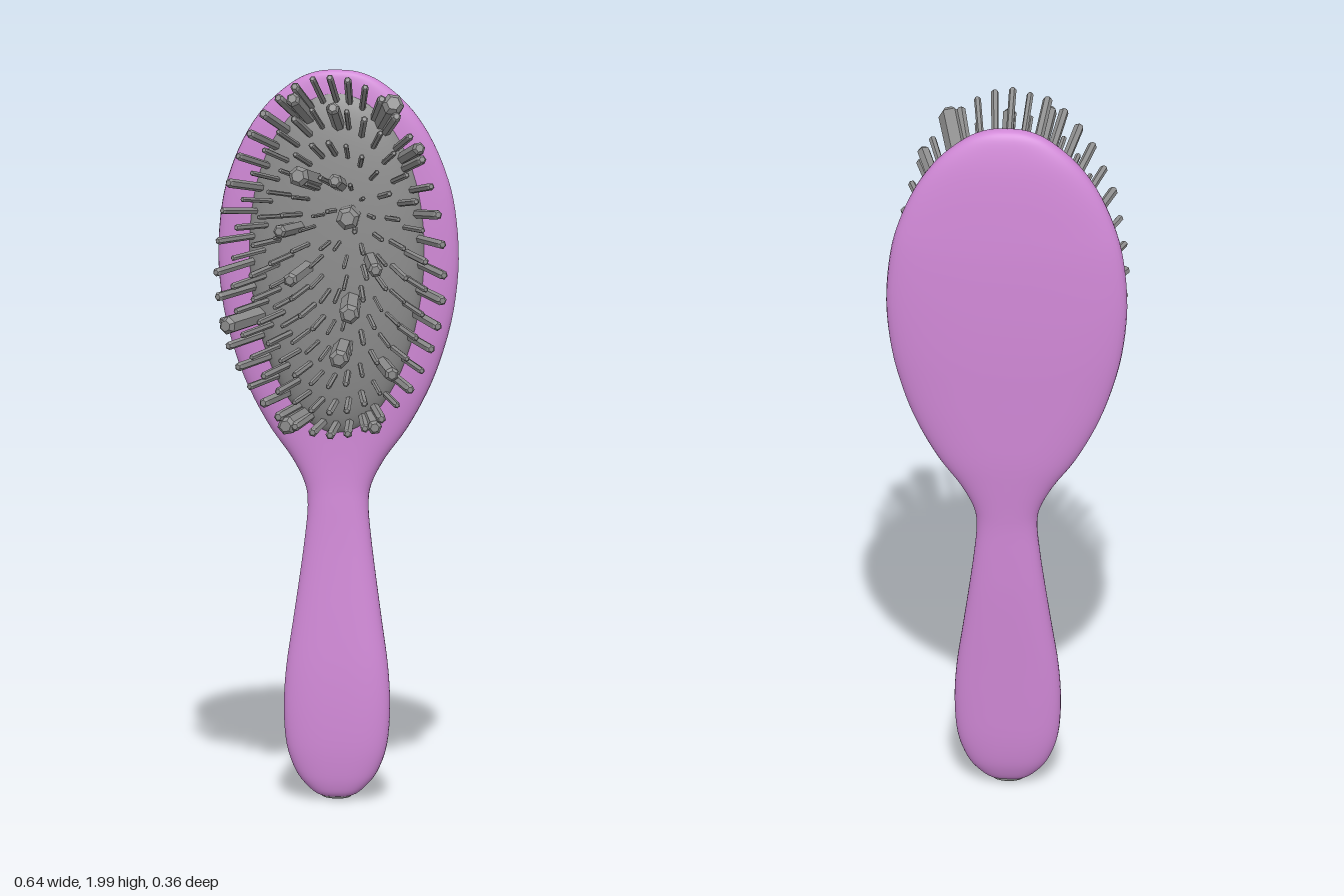
import * as THREE from 'three';
import { mergeGeometries, mergeVertices } from 'three/addons/utils/BufferGeometryUtils.js';

// Cushion ellipsoid: centre and half sizes
const CY = 1.455, CZ = -0.1, RX = 0.235, RY = 0.465, RZ = 0.075;

// Small seeded generator
function seeded(seed) {
  return () => {
    seed = (seed * 16807) % 2147483647;
    return seed / 2147483647;
  };
}

// Paddle and handle: rounded cross-sections [y, half width, front z, back z]
function bodyGeometry() {
  const rows = [
    [0.008, 0, -0.085, -0.085], [0.016, 0.045, -0.065, -0.103], [0.04, 0.078, -0.055, -0.117],
    [0.08, 0.109, -0.049, -0.129], [0.15, 0.134, -0.045, -0.138], [0.25, 0.142, -0.046, -0.144],
    [0.36, 0.136, -0.051, -0.15], [0.48, 0.119, -0.06, -0.157], [0.6, 0.102, -0.07, -0.163],
    [0.7, 0.089, -0.078, -0.166], [0.79, 0.081, -0.084, -0.168], [0.85, 0.089, -0.088, -0.172],
    [0.92, 0.125, -0.09, -0.178], [1.0, 0.183, -0.09, -0.184], [1.1, 0.238, -0.087, -0.187],
    [1.2, 0.277, -0.085, -0.189], [1.32, 0.308, -0.083, -0.191], [1.46, 0.322, -0.082, -0.19],
    [1.6, 0.312, -0.081, -0.186], [1.7, 0.287, -0.081, -0.179], [1.8, 0.243, -0.081, -0.17],
    [1.88, 0.186, -0.084, -0.159], [1.94, 0.116, -0.09, -0.144], [1.966, 0.058, -0.097, -0.13],
    [1.973, 0, -0.112, -0.112],
  ];
  const outline = new THREE.CatmullRomCurve3(rows.map(([y, w]) => new THREE.Vector3(w, y, 0)), false, 'catmullrom');
  const faces = new THREE.CatmullRomCurve3(rows.map(([, , f, b]) => new THREE.Vector3(f, b, 0)), false, 'catmullrom');
  const steps = (rows.length - 1) * 4, sides = 48, pos = [], idx = [];
  const power = (v) => Math.sign(v) * Math.abs(v) ** 0.74;
  for (let i = 0; i <= steps; i++) {
    const o = outline.getPoint(i / steps), f = faces.getPoint(i / steps);
    for (let j = 0; j < sides; j++) {
      const a = (j / sides) * Math.PI * 2;
      pos.push(Math.max(o.x, 0) * power(Math.cos(a)), o.y, (f.x + f.y) / 2 + ((f.x - f.y) / 2) * power(Math.sin(a)));
      if (i < steps) {
        const p = i * sides + j, q = i * sides + ((j + 1) % sides);
        idx.push(p, p + sides, q, q, p + sides, q + sides);
      }
    }
  }
  let geo = new THREE.BufferGeometry();
  geo.setAttribute('position', new THREE.Float32BufferAttribute(pos, 3));
  geo.setIndex(idx);
  geo = mergeVertices(geo, 1e-5);
  geo.computeVertexNormals();
  return geo;
}

// Egg-shaped dome, slightly wider towards the top
function cushionGeometry() {
  let geo = new THREE.SphereGeometry(1, 48, 32);
  const p = geo.attributes.position;
  for (let i = 0; i < p.count; i++) {
    const y = p.getY(i);
    p.setXYZ(i, p.getX(i) * RX * (1 + 0.08 * y), CY + y * RY, CZ + p.getZ(i) * RZ);
  }
  geo.deleteAttribute('uv');
  geo.deleteAttribute('normal');
  geo = mergeVertices(geo, 1e-5);
  geo.computeVertexNormals();
  return geo;
}

// One six-sided bristle with a chamfered tip; u and v place its root on the dome
function bristle(u, v, radius, tipZ, twist) {
  const s2 = Math.min(1, u * u + v * v);
  const root = new THREE.Vector3(u * RX, CY + v * RY, CZ - 0.015 + RZ * Math.sqrt(1 - s2));
  const tip = new THREE.Vector3(u * RX * 1.38, CY + v * RY * (v > 0 ? 1.22 : 1), tipZ);
  const dir = tip.clone().sub(root), len = dir.length();
  const profile = [[radius * 0.95, 0], [radius, len - radius * 0.5], [radius * 0.6, len], [0, len]];
  const geo = new THREE.LatheGeometry(profile.map(([x, y]) => new THREE.Vector2(x, y)), 6);
  geo.rotateY(twist);
  geo.applyQuaternion(new THREE.Quaternion().setFromUnitVectors(new THREE.Vector3(0, 1, 0), dir.normalize()));
  geo.translate(root.x, root.y, root.z);
  return geo;
}

function bristlesGeometry() {
  const rand = seeded(4217), parts = [];
  // Concentric rings: [distance from centre, count, base radius]
  const rings = [[0.94, 40, 0.0105], [0.8, 34, 0.008], [0.64, 28, 0.007], [0.48, 24, 0.006], [0.32, 16, 0.006], [0.15, 8, 0.005]];
  rings.forEach(([s, count, base], k) => {
    for (let i = 0; i < count; i++) {
      const a = ((i + (k % 2) / 2) / count) * Math.PI * 2;
      const tipZ = 0.15 - 0.08 * s * s + rand() * 0.02;
      parts.push(bristle(s * Math.cos(a), s * Math.sin(a), base * (0.85 + 0.5 * rand()), tipZ, rand() * 2));
    }
  });
  // Thick bristles: [tip x, tip y, radius]
  const thick = [
    [0.17, 1.92, 0.031], [-0.08, 1.73, 0.029], [0.055, 1.62, 0.032], [0.06, 1.36, 0.028],
    [0.03, 1.235, 0.027], [-0.12, 1.04, 0.026], [0.12, 1.04, 0.02], [-0.28, 1.31, 0.025],
    [0.02, 1.72, 0.02], [0.13, 1.48, 0.02], [0.17, 1.19, 0.02], [0.24, 1.8, 0.018],
    [-0.1, 1.93, 0.02], [-0.1, 1.45, 0.02], [-0.13, 1.58, 0.018], [0.01, 1.91, 0.018],
  ];
  for (const [x, y, r] of thick) {
    const u = x / RX / 1.38, dy = y - CY, v = dy / RY / (dy > 0 ? 1.22 : 1);
    parts.push(bristle(u, v, r, 0.18 - 0.1 * (u * u + v * v), rand() * 2));
  }
  return mergeGeometries(parts);
}

export function createModel() {
  const group = new THREE.Group();
  group.name = 'hairbrush';
  const pink = new THREE.MeshStandardMaterial({ color: 0xd088d6 });
  const grey = new THREE.MeshStandardMaterial({ color: 0x8c8c8c });
  const greyFlat = new THREE.MeshStandardMaterial({ color: 0x8c8c8c, flatShading: true });

  const add = (name, geometry, material) => {
    const mesh = new THREE.Mesh(geometry, material);
    mesh.name = name;
    group.add(mesh);
  };
  add('paddleAndHandle', bodyGeometry(), pink);
  add('cushion', cushionGeometry(), grey);
  add('bristles', bristlesGeometry(), greyFlat);
  // Small plug at the bottom of the handle
  add('handleEndPlug', new THREE.SphereGeometry(1, 24, 12).scale(0.04, 0.01, 0.016).translate(0, 0.014, -0.087), grey);
  return group;
}
